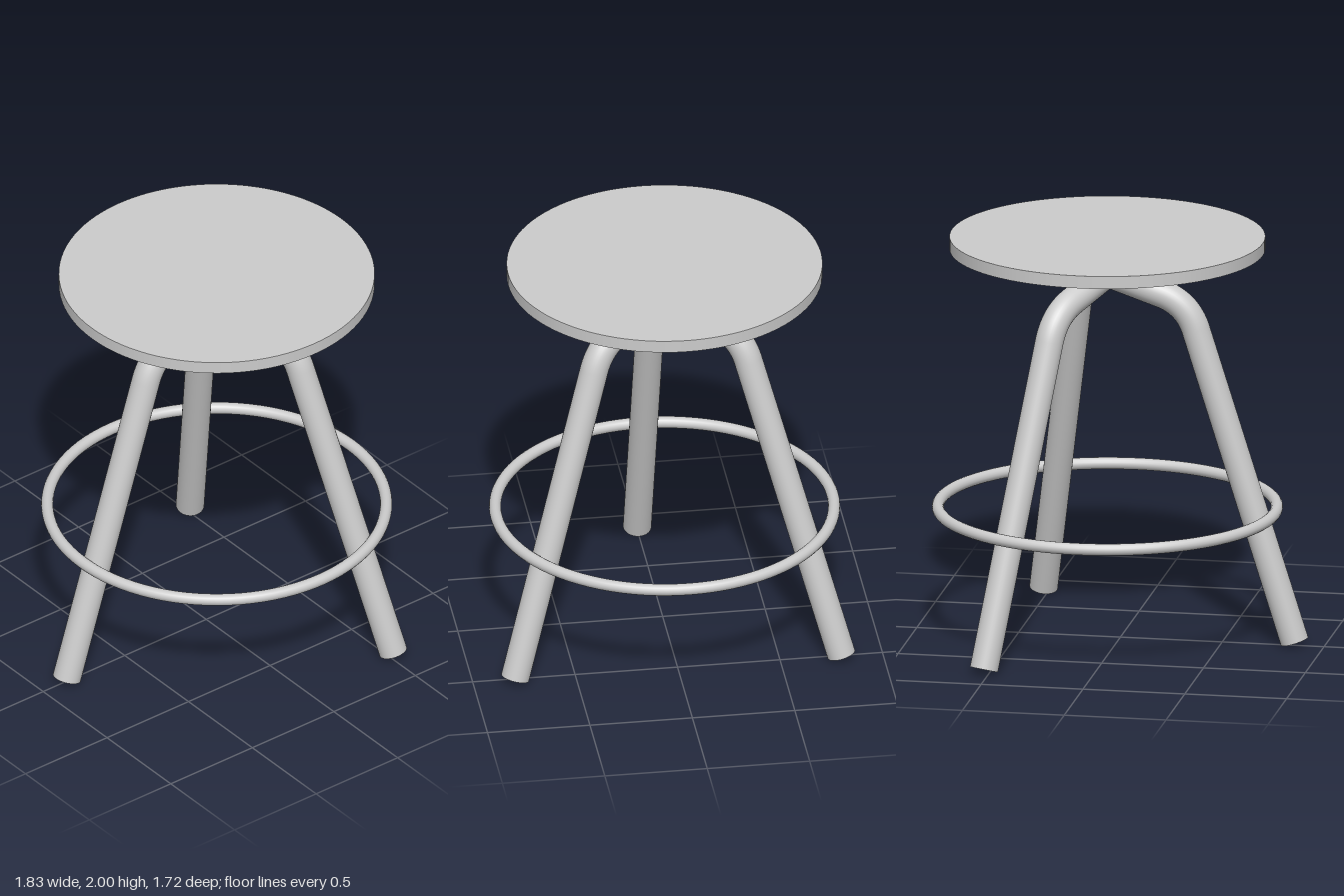
import * as THREE from 'three';

const material = new THREE.MeshStandardMaterial({ color: 0xcccccc });
const LEG_RADIUS = 0.069;

function part(name, geometry, parent) {
  const mesh = new THREE.Mesh(geometry, material);
  mesh.name = name;
  parent.add(mesh);
  return mesh;
}

// Straight round bar between two points
function bar(name, a, b, radius, parent) {
  const mesh = part(name, new THREE.CylinderGeometry(radius, radius, a.distanceTo(b), 32), parent);
  const direction = b.clone().sub(a).normalize();
  mesh.position.copy(a).add(b).multiplyScalar(0.5);
  mesh.quaternion.setFromUnitVectors(new THREE.Vector3(0, 1, 0), direction);
  return mesh;
}

// Bent tubular leg running outwards along +x
function createLeg() {
  const leg = new THREE.Group();
  leg.name = 'leg';
  const hub = new THREE.Vector3(0, 1.817, 0);
  const knee = new THREE.Vector3(0.394, 1.683, 0);
  const foot = new THREE.Vector3(0.919, 0.021, 0);
  const toward = (target) => knee.clone().add(target.clone().sub(knee).setLength(0.135));
  const bendStart = toward(hub);
  const bendEnd = toward(foot);

  bar('legArm', hub, bendStart, LEG_RADIUS, leg);
  const bend = new THREE.QuadraticBezierCurve3(bendStart, knee, bendEnd);
  part('legBend', new THREE.TubeGeometry(bend, 16, LEG_RADIUS, 32), leg);
  bar('legShaft', bendEnd, foot, LEG_RADIUS, leg);
  return leg;
}

export function createModel() {
  const stool = new THREE.Group();
  stool.name = 'stool';
  // Three legs put the seat axis slightly off the centre of the footprint
  const body = new THREE.Group();
  body.name = 'stoolBody';
  body.position.x = 0.064;
  stool.add(body);

  // Round seat
  part('seat', new THREE.CylinderGeometry(0.763, 0.763, 0.062, 96), body).position.y = 1.969;

  // Short post under the seat
  bar('post', new THREE.Vector3(0, 1.8, 0), new THREE.Vector3(0, 1.95, 0), 0.071, body);

  // Three legs, evenly spread
  for (const degrees of [60, 180, 300]) {
    const leg = createLeg();
    leg.rotation.y = THREE.MathUtils.degToRad(degrees);
    body.add(leg);
  }

  // Foot ring around the outside of the legs
  const ring = part('footRing', new THREE.TorusGeometry(0.819, 0.029, 16, 96), body);
  ring.rotation.x = Math.PI / 2;
  ring.position.y = 0.65;

  return stool;
}
